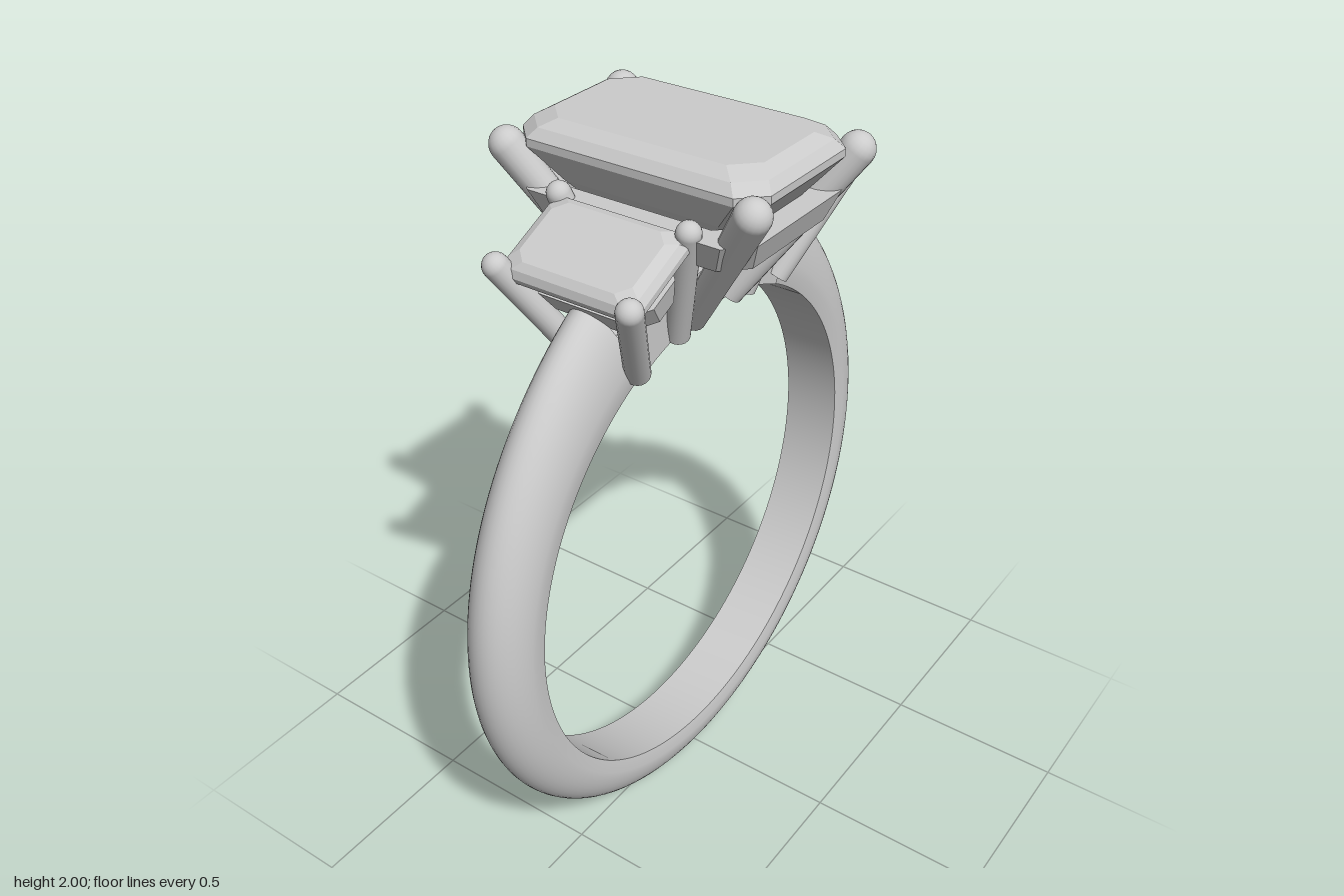
import * as THREE from 'three';
import { toCreasedNormals } from 'three/addons/utils/BufferGeometryUtils.js';

const CY = 0.84, R_IN = 0.693, DEG = Math.PI / 180;
const V = (x, y, z) => new THREE.Vector3(x, y, z);

// Skin a list of closed rings; ends are capped, or joined when loop is true
function loft(rings, { loop = false, crease = 0.5 } = {}) {
  const pos = [], n = rings[0].length;
  const tri = (...p) => p.forEach(v => pos.push(v.x, v.y, v.z));
  const last = loop ? rings.length : rings.length - 1;
  for (let i = 0; i < last; i++) {
    const lo = rings[i], hi = rings[(i + 1) % rings.length];
    for (let j = 0; j < n; j++) {
      const k = (j + 1) % n;
      tri(lo[j], lo[k], hi[k]);
      tri(lo[j], hi[k], hi[j]);
    }
  }
  if (!loop) {
    const cap = (ring, flip) => {
      const c = ring.reduce((s, p) => s.add(p), V(0, 0, 0)).divideScalar(n);
      ring.forEach((p, j) => {
        const q = ring[(j + 1) % n];
        flip ? tri(c, q, p) : tri(c, p, q);
      });
    };
    cap(rings[0], true);
    cap(rings[rings.length - 1], false);
  }
  const g = new THREE.BufferGeometry();
  g.setAttribute('position', new THREE.Float32BufferAttribute(pos, 3));
  return toCreasedNormals(g, crease);
}

// Rectangle with cut corners at height y
function octagon(hx, hz, y, cut = 0.06) {
  const c = Math.min(cut, hx * 0.8, hz * 0.8);
  return [[hx, hz - c], [hx, c - hz], [hx - c, -hz], [c - hx, -hz],
    [-hx, c - hz], [-hx, hz - c], [c - hx, hz], [hx - c, hz]].map(([x, z]) => V(x, y, z));
}

// Sweep an [r, z] section around the finger hole; angles run from the top
function sweep(a0, a1, steps, section, crease) {
  const rings = [];
  for (let i = 0; i <= steps; i++) {
    const deg = a0 + (a1 - a0) * i / steps, a = deg * DEG;
    rings.push(section(deg).map(([r, z]) => V(r * Math.sin(a), CY + r * Math.cos(a), z)));
  }
  return loft(rings, { crease });
}

// D-shaped section that swells toward the shoulders
function shankSection(deg) {
  const fromTop = Math.min(deg, 360 - deg);
  const t = THREE.MathUtils.clamp((90 - fromTop) / 65, 0, 1);
  const outer = 0.838 + 0.086 * t * t, base = R_IN + 0.035, pts = [];
  for (let i = 0; i <= 20; i++) {
    const a = Math.PI * i / 20;
    pts.push([base + (outer - base) * Math.sin(a), -0.09 * Math.cos(a)]);
  }
  pts.push([R_IN, 0.083], [R_IN, -0.083]);
  return pts;
}

const barSection = (z0, z1, r1) => () => [[r1, z0], [r1, z1], [R_IN, z1], [R_IN, z0]];

export function createModel() {
  const model = new THREE.Group();
  const material = new THREE.MeshStandardMaterial({ color: 0xcccccc });
  const add = (parent, name, geometry) => {
    const mesh = new THREE.Mesh(geometry, material);
    mesh.name = name;
    parent.add(mesh);
    return mesh;
  };

  // Tapered stalk with a rounded tip
  function prong(name, base, tip, r0, r1) {
    const g = new THREE.Group();
    g.name = name;
    const dir = tip.clone().sub(base), len = dir.length();
    add(g, 'prongStalk', new THREE.CylinderGeometry(r1, r0, len, 20)).position.y = len / 2;
    add(g, 'prongTip', new THREE.SphereGeometry(r1, 20, 12)).position.y = len;
    g.position.copy(base);
    g.quaternion.setFromUnitVectors(V(0, 1, 0), dir.normalize());
    model.add(g);
  }

  // Step-cut stone from [halfX, halfZ, y] levels
  const stone = levels => loft(levels.map(l => octagon(...l)), { crease: 0.1 });

  // Flared frame below a stone
  function frame(hx, hz, y0, y1, flare, wall) {
    return loft([
      octagon(hx - flare, hz - flare, y0),
      octagon(hx, hz, y1),
      octagon(hx - wall, hz - wall, y1),
      octagon(hx - flare - wall, hz - flare - wall, y0),
    ], { loop: true, crease: 0.1 });
  }

  // Band
  add(model, 'shank', sweep(25, 335, 140, shankSection, 0.6));

  // Open bridge under the stones
  for (const s of [-1, 1]) {
    add(model, 'bridgeRail', sweep(-26, 26, 24, barSection(s * 0.065 - 0.025, s * 0.065 + 0.025, 0.81), 0.4));
  }
  for (const a of [-22, -9, 9, 22]) {
    add(model, 'bridgeCrossbar', sweep(a - 3.5, a + 3.5, 4, barSection(-0.06, 0.06, 0.8), 0.4));
  }

  // Centre stone and its frame
  add(model, 'centreStone', stone([
    [0.006, 0.12, 1.69], [0.105, 0.21, 1.765], [0.17, 0.28, 1.85],
    [0.22, 0.35, 1.935], [0.22, 0.35, 1.955], [0.2, 0.33, 1.98], [0.165, 0.295, 2.0],
  ]));
  add(model, 'centreFrame', frame(0.245, 0.335, 1.765, 1.84, 0.03, 0.07));

  for (const sx of [-1, 1]) {
    // Tilted side stone and its frame
    const side = new THREE.Group();
    side.name = sx > 0 ? 'leftSideStone' : 'rightSideStone';
    side.position.set(sx * 0.34, 1.785, 0);
    side.rotation.z = -sx * 25 * DEG;
    add(side, 'sideStone', stone([
      [0.006, 0.08, -0.15], [0.06, 0.125, -0.105], [0.095, 0.16, -0.065],
      [0.127, 0.197, -0.015], [0.127, 0.197, 0], [0.115, 0.185, 0.018], [0.095, 0.16, 0.03],
    ].map(l => [...l, 0.03])));
    add(side, 'sideFrame', frame(0.105, 0.175, -0.13, -0.062, 0.015, 0.04));
    model.add(side);

    // Prongs at the stone corners
    for (const sz of [-1, 1]) {
      prong('centreProng', V(sx * 0.08, 1.535, sz * 0.09), V(sx * 0.225, 1.93, sz * 0.345), 0.034, 0.045);
      prong('sideInnerProng', V(sx * 0.145, 1.52, sz * 0.09), V(sx * 0.235, 1.85, sz * 0.185), 0.032, 0.031);
      prong('sideOuterProng', V(sx * 0.305, 1.49, sz * 0.088), V(sx * 0.463, 1.755, sz * 0.19), 0.033, 0.033);
    }
  }
  return model;
}
